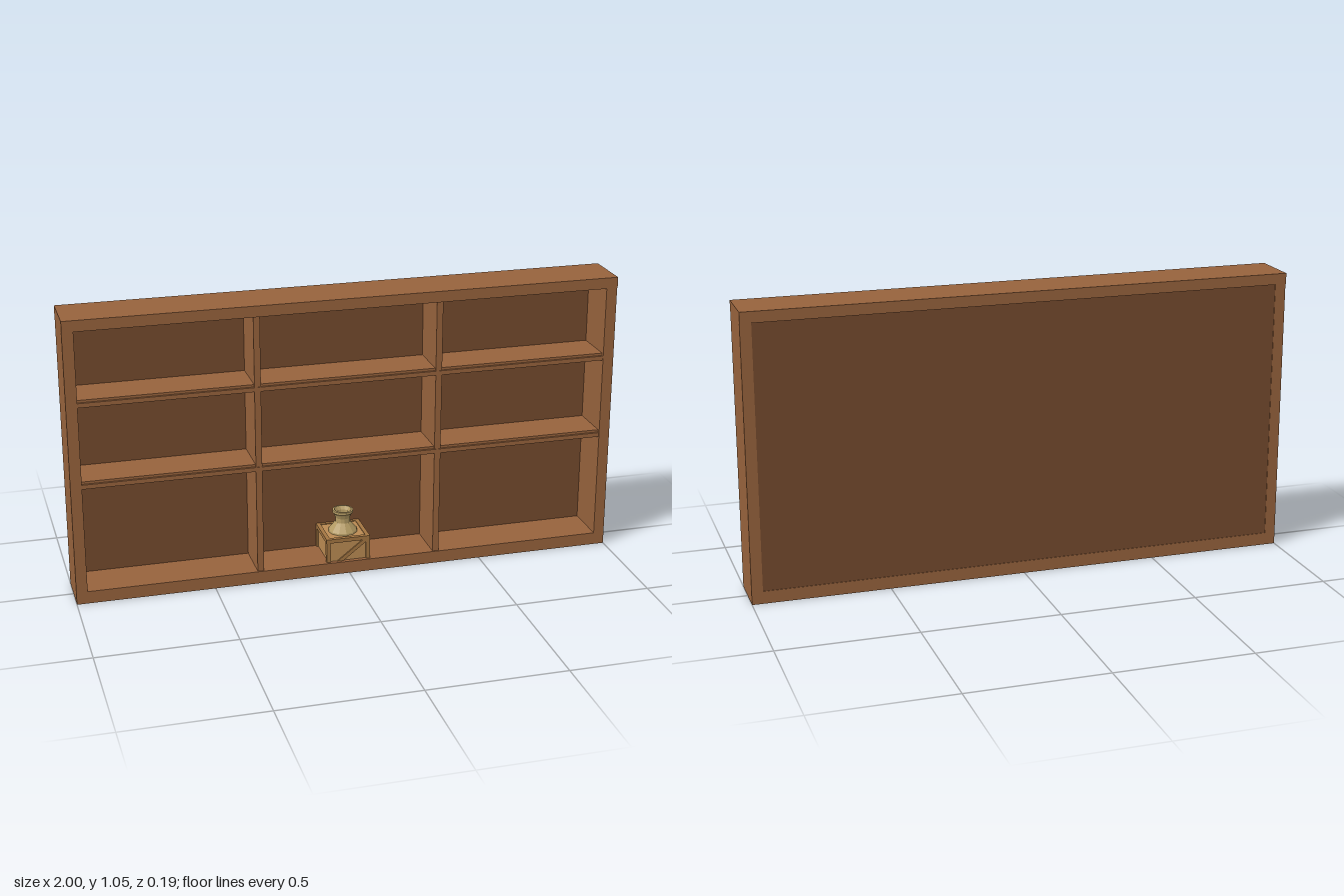
import * as THREE from 'three';

export function createModel() {
  const root = new THREE.Group();
  const material = (color) => new THREE.MeshStandardMaterial({ color });
  const wood = material(0x96623c);
  const darkWood = material(0x744a2d);
  const crateFrame = material(0xa37541);
  const cratePanel = material(0xb98a52);
  const clay = material(0xb39a63);
  clay.flatShading = true;
  clay.side = THREE.DoubleSide;

  // Box given by its minimum and maximum on each axis
  function box(parent, name, mat, [x0, x1], [y0, y1], [z0, z1]) {
    const mesh = new THREE.Mesh(new THREE.BoxGeometry(x1 - x0, y1 - y0, z1 - z0), mat);
    mesh.position.set((x0 + x1) / 2, (y0 + y1) / 2, (z0 + z1) / 2);
    mesh.name = name;
    parent.add(mesh);
    return mesh;
  }

  // Cabinet shell
  const cabinet = new THREE.Group();
  cabinet.name = 'cabinet';
  root.add(cabinet);
  box(cabinet, 'topBoard', wood, [-1, 1], [1.01, 1.05], [-0.095, 0.095]);
  box(cabinet, 'floorBoard', wood, [-0.99, 0.99], [0.036, 0.046], [-0.085, 0.085]);
  box(cabinet, 'backPanel', darkWood, [-0.96, 0.96], [0.046, 1.01], [-0.089, -0.075]);
  for (const s of [-1, 1]) {
    const span = (a, b) => (s > 0 ? [a, b] : [-b, -a]);
    box(cabinet, 'sidePanel', wood, span(0.96, 1), [0.036, 1.01], [-0.091, 0.091]);
    box(cabinet, 'sideSkirt', wood, span(0.992, 1), [0, 0.036], [-0.091, 0.091]);
    box(cabinet, 'divider', wood, span(0.32, 0.343), [0.046, 1.01], [-0.075, 0.086]);
    // Hollow plinth below the floor
    box(cabinet, s > 0 ? 'frontRail' : 'backRail', wood, [-0.992, 0.992], [0, 0.046], span(0.084, 0.091));
  }

  // Shelves: a board with a slightly recessed upper layer
  for (const y of [0.436, 0.736]) {
    box(cabinet, 'shelf', wood, [-0.96, 0.96], [y, y + 0.016], [-0.075, 0.088]);
    box(cabinet, 'shelfTop', wood, [-0.96, 0.96], [y + 0.016, y + 0.025], [-0.075, 0.08]);
  }

  // Crate standing through the floor: recessed panels inside a frame of bars
  const crate = new THREE.Group();
  crate.name = 'crate';
  crate.position.set(-0.002, 0.069, 0.002);
  root.add(crate);
  const h = [0.082, 0.067, 0.08];
  const bar = 0.015;
  const inset = 0.007;
  box(crate, 'cratePanels', cratePanel, [-h[0] + inset, h[0] - inset],
    [-h[1] + 0.001, h[1] - 0.003], [-h[2] + inset, h[2] - inset]);
  for (let axis = 0; axis < 3; axis++) {
    for (const a of [-1, 1]) for (const b of [-1, 1]) {
      const u = (axis + 1) % 3;
      const v = (axis + 2) % 3;
      const range = [];
      range[axis] = [-h[axis], h[axis]];
      range[u] = a > 0 ? [h[u] - bar, h[u]] : [-h[u], -h[u] + bar];
      range[v] = b > 0 ? [h[v] - bar, h[v]] : [-h[v], -h[v] + bar];
      box(crate, 'crateBar', crateFrame, ...range);
    }
  }
  // Diagonal braces on the front and back
  const dx = 2 * (h[0] - bar);
  const dy = 2 * (h[1] - bar);
  for (const s of [-1, 1]) {
    const brace = box(crate, 'crateBrace', crateFrame,
      [-Math.hypot(dx, dy) / 2, Math.hypot(dx, dy) / 2], [-0.007, 0.007], [-0.003, 0.003]);
    brace.position.z = s * (h[2] - 0.005);
    brace.rotation.z = s * Math.atan2(dy, dx);
  }

  // Clay pot rising out of the crate
  const profile = [
    [0, 0.13], [0.055, 0.13], [0.053, 0.139], [0.036, 0.16], [0.028, 0.17],
    [0.027, 0.187], [0.032, 0.2], [0.039, 0.208], [0.039, 0.217],
    [0.032, 0.218], [0.024, 0.205], [0.022, 0.18], [0, 0.175],
  ].map(([x, y]) => new THREE.Vector2(x, y));
  const pot = new THREE.Mesh(new THREE.LatheGeometry(profile, 12), clay);
  pot.name = 'pot';
  pot.position.set(-0.002, 0, 0.002);
  root.add(pot);

  return root;
}
